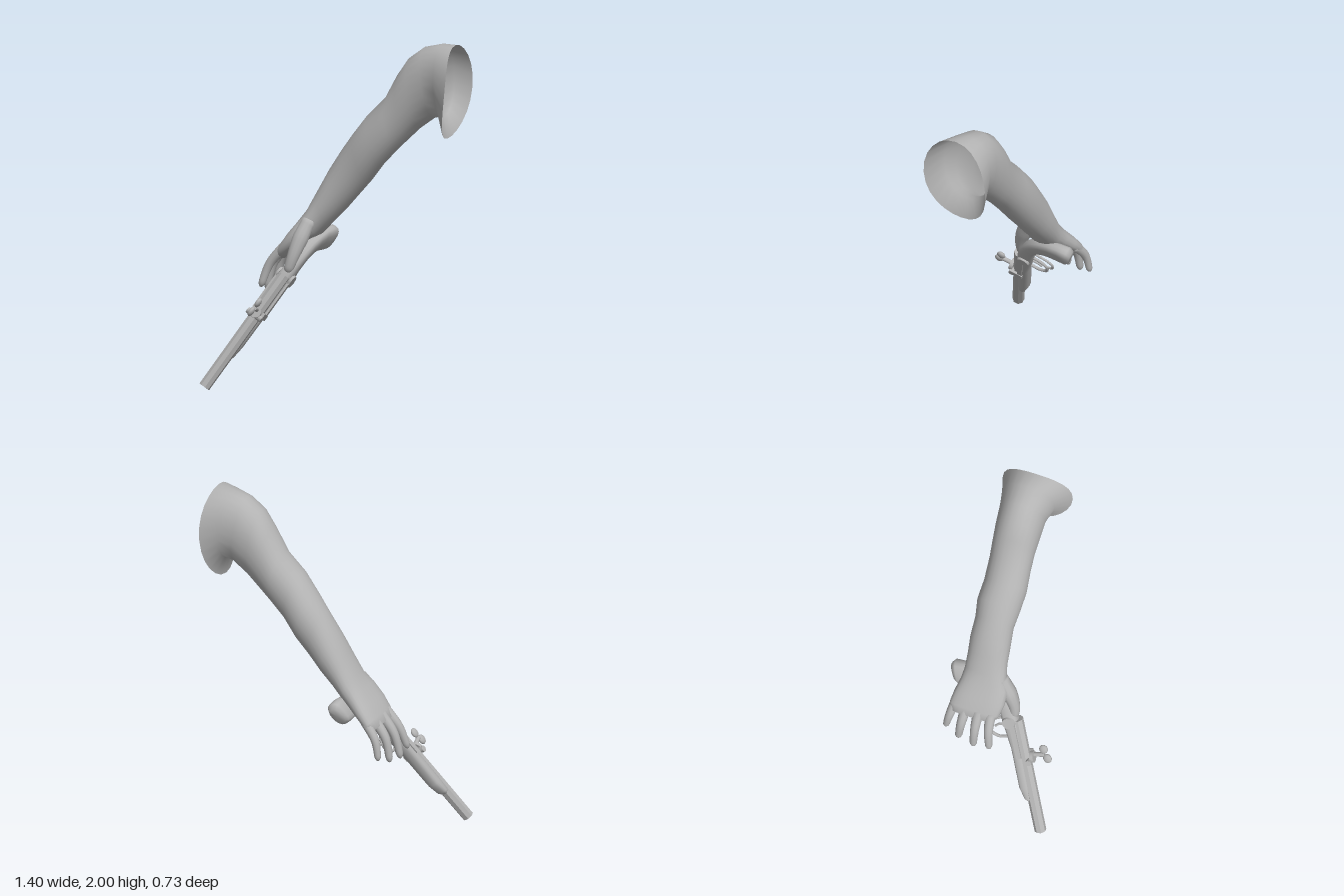
import * as THREE from 'three';

const V = (x, y, z) => new THREE.Vector3(x, y, z);

export function createModel() {
  const grey = new THREE.MeshStandardMaterial({ color: 0xb3b3b3, side: THREE.DoubleSide });
  grey.name = 'plain grey';
  const model = new THREE.Group();
  model.name = 'armWithPistol';

  const add = (parent, name, geometry) => {
    const mesh = new THREE.Mesh(geometry, grey);
    mesh.name = name;
    parent.add(mesh);
    return mesh;
  };

  // Skin a list of rings; optional caps at the start and end
  function loft(rings, capStart, capEnd) {
    const n = rings[0].length, pos = [], index = [];
    rings.forEach(r => r.forEach(p => pos.push(p.x, p.y, p.z)));
    for (let i = 0; i < rings.length - 1; i++) {
      for (let j = 0; j < n; j++) {
        const a = i * n + j, b = i * n + (j + 1) % n;
        index.push(a, b, b + n, a, b + n, a + n);
      }
    }
    const cap = (i, flip) => {
      const c = V(0, 0, 0);
      rings[i].forEach(p => c.addScaledVector(p, 1 / n));
      const k = pos.length / 3;
      pos.push(c.x, c.y, c.z);
      for (let j = 0; j < n; j++) {
        const a = i * n + j, b = i * n + (j + 1) % n;
        flip ? index.push(k, b, a) : index.push(k, a, b);
      }
    };
    if (capStart) cap(0, true);
    if (capEnd) cap(rings.length - 1, false);
    const g = new THREE.BufferGeometry();
    g.setAttribute('position', new THREE.Float32BufferAttribute(pos, 3));
    g.setIndex(index);
    g.computeVertexNormals();
    return g;
  }

  // Ellipse ring from a centre and two half axes; power below 1 squares it off
  function ring(c, u, v, n, power = 1) {
    const soft = t => Math.sign(t) * Math.pow(Math.abs(t), power);
    return Array.from({ length: n }, (_, j) => {
      const t = j / n * Math.PI * 2;
      return c.clone().addScaledVector(u, soft(Math.cos(t))).addScaledVector(v, soft(Math.sin(t)));
    });
  }

  // Tapered, round-ended limb through points [x, y, z, radius]
  function limb(points) {
    const curve = new THREE.CatmullRomCurve3(points.map(p => V(p[0], p[1], p[2])));
    const rings = [], steps = 20, last = points.length - 1;
    for (let i = 0; i <= steps; i++) {
      const t = Math.sin(i / steps * Math.PI / 2), s = Math.min(t * last, last - 1e-6), k = Math.floor(s);
      let r = THREE.MathUtils.lerp(points[k][3], points[k + 1][3], s - k);
      if (t > 0.87) r *= Math.sqrt(Math.max(0.002, 1 - ((t - 0.87) / 0.13) ** 2));
      const w = curve.getTangent(t), u = V(0, 0, 1).cross(w).normalize(), v = w.clone().cross(u);
      rings.push(ring(curve.getPoint(t), u.multiplyScalar(r), v.multiplyScalar(r), 12));
    }
    return loft(rings, true, true);
  }

  // Arm sections: top x, top y, bottom x, bottom y, front z, back z
  const sections = [
    [0.68, 2.0, 0.63, 1.46, 0.07, -0.35],
    [0.59, 2.0, 0.60, 1.585, -0.005, -0.32],
    [0.48, 1.975, 0.54, 1.57, -0.03, -0.305],
    [0.39, 1.91, 0.45, 1.505, -0.035, -0.30],
    [0.32, 1.81, 0.38, 1.44, -0.042, -0.295],
    [0.25, 1.68, 0.31, 1.375, -0.042, -0.29],
    [0.14, 1.57, 0.22, 1.28, -0.034, -0.288],
    [0.05, 1.46, 0.14, 1.18, -0.045, -0.30],
    [-0.02, 1.365, 0.06, 1.09, -0.058, -0.287],
    [-0.10, 1.24, -0.02, 1.00, -0.05, -0.29],
    [-0.16, 1.13, -0.10, 0.92, -0.045, -0.282],
    [-0.22, 1.015, -0.155, 0.86, -0.03, -0.28],
    [-0.27, 0.94, -0.205, 0.83, -0.005, -0.287],
    [-0.33, 0.87, -0.265, 0.785, -0.005, -0.305],
    [-0.38, 0.805, -0.325, 0.735, -0.02, -0.315],
    [-0.405, 0.76, -0.365, 0.715, -0.05, -0.295]
  ];
  const armRings = sections.map(([tx, ty, bx, by, zf, zb], i) => {
    const c = V((tx + bx) / 2, (ty + by) / 2, (zf + zb) / 2);
    const u = V((tx - bx) / 2, (ty - by) / 2, 0), v = V(0, 0, (zb - zf) / 2);
    const r = ring(c, u, v, 24, i > 11 ? 0.8 : 0.95);
    // the shoulder rim bows outwards at its sides
    if (i === 0) r.forEach((p, j) => { p.x += 0.04 * Math.sin(j / 24 * Math.PI * 2) ** 2; });
    return r;
  });
  add(model, 'armAndPalm', loft(armRings, false, true));

  // Fingers and thumb
  const fingers = {
    littleFinger: [[-0.33, 0.79, -0.28, 0.03], [-0.405, 0.69, -0.3, 0.024], [-0.432, 0.575, -0.313, 0.018]],
    ringFinger: [[-0.35, 0.785, -0.215, 0.032], [-0.43, 0.68, -0.222, 0.026], [-0.463, 0.54, -0.228, 0.02]],
    middleFinger: [[-0.36, 0.785, -0.14, 0.032], [-0.44, 0.68, -0.137, 0.026], [-0.482, 0.53, -0.132, 0.02]],
    indexFinger: [[-0.35, 0.785, -0.07, 0.032], [-0.43, 0.69, -0.058, 0.026], [-0.48, 0.555, -0.038, 0.02]],
    thumb: [[-0.19, 0.95, -0.06, 0.04], [-0.222, 0.85, -0.005, 0.047], [-0.25, 0.75, 0.035, 0.035], [-0.28, 0.655, 0.05, 0.027]]
  };
  for (const name in fingers) add(model, name, limb(fingers[name]));

  // Pistol frame: local x runs from muzzle to butt, y is the pistol's top
  const pistol = new THREE.Group();
  pistol.name = 'pistol';
  const along = V(0.489, 0.801, -0.345).normalize();
  const side = V(0.853, -0.521, 0).normalize();
  const up = side.clone().cross(along).normalize();
  pistol.quaternion.setFromRotationMatrix(new THREE.Matrix4().makeBasis(along, up, side));
  pistol.position.set(-0.67, 0.022, 0.335);
  model.add(pistol);

  // Octagonal barrel with a bored muzzle
  const profile = [[0, 0.06], [0.021, 0.06], [0.021, 0], [0.034, 0], [0.036, 0.78], [0, 0.78]];
  const barrel = new THREE.LatheGeometry(profile.map(p => new THREE.Vector2(...p)), 8)
    .rotateY(Math.PI / 8).rotateZ(-Math.PI / 2).toNonIndexed();
  barrel.computeVertexNormals();
  add(pistol, 'barrel', barrel);

  // Stock and curved grip: upper x, y, lower x, y, half width
  const stock = [
    [0.205, -0.02, 0.21, -0.034, 0.015], [0.225, -0.008, 0.235, -0.05, 0.032],
    [0.31, 0, 0.31, -0.068, 0.038], [0.58, 0, 0.58, -0.066, 0.042],
    [0.70, 0.005, 0.70, -0.078, 0.043], [0.78, 0.012, 0.79, -0.087, 0.043],
    [0.87, 0.003, 0.86, -0.092, 0.04], [0.95, -0.022, 0.91, -0.1, 0.038],
    [1.027, -0.055, 0.955, -0.13, 0.037], [1.09, -0.11, 0.985, -0.165, 0.037],
    [1.135, -0.17, 1.0, -0.21, 0.038], [1.166, -0.235, 1.015, -0.265, 0.042],
    [1.18, -0.295, 1.03, -0.30, 0.045], [1.16, -0.322, 1.05, -0.316, 0.034]
  ];
  add(pistol, 'stockAndGrip', loft(stock.map(([ux, uy, lx, ly, w]) =>
    ring(V((ux + lx) / 2, (uy + ly) / 2, 0), V((ux - lx) / 2, (uy - ly) / 2, 0), V(0, 0, w), 16, 0.75)),
  true, true));

  // Lock plates and pivot discs on both sides
  for (const s of [1, -1]) {
    add(pistol, 'lockPlate', new THREE.BoxGeometry(0.24, 0.03, 0.012)).position.set(0.65, -0.022, s * 0.043);
    add(pistol, 'pivotDisc', new THREE.CylinderGeometry(0.036, 0.04, 0.014, 20).rotateX(s * Math.PI / 2))
      .position.set(0.775, -0.04, s * 0.045);
  }

  // Trigger guard, its finger spur and the trigger
  const rod = (name, pts, r) => add(pistol, name, new THREE.TubeGeometry(
    new THREE.CatmullRomCurve3(pts.map(p => V(p[0], p[1], 0))), 28, r, 8));
  rod('triggerGuard', [[0.66, -0.06], [0.655, -0.125], [0.69, -0.17], [0.745, -0.168], [0.78, -0.125], [0.79, -0.07]], 0.009);
  rod('guardSpur', [[0.745, -0.168], [0.775, -0.205], [0.825, -0.2], [0.85, -0.16], [0.86, -0.08]], 0.007);
  rod('trigger', [[0.735, -0.07], [0.74, -0.11], [0.725, -0.14]], 0.007);

  // Clamp across the barrel with a winged screw on top
  add(pistol, 'clampBar', new THREE.CylinderGeometry(0.018, 0.018, 0.1, 12).rotateX(Math.PI / 2)).position.set(0.5, 0.03, 0);
  add(pistol, 'clampArm', new THREE.BoxGeometry(0.035, 0.08, 0.014)).position.set(0.52, 0, 0.045);
  add(pistol, 'clampCollar', new THREE.CylinderGeometry(0.034, 0.034, 0.022, 16)).position.set(0.515, 0.046, 0);
  add(pistol, 'screwStem', new THREE.CylinderGeometry(0.013, 0.013, 0.08, 12)).position.set(0.53, 0.08, 0);
  for (const s of [1, -1]) {
    const wing = add(pistol, 'screwWing', new THREE.SphereGeometry(0.03, 14, 10).scale(1, 0.85, 0.5));
    wing.position.set(0.535 + s * 0.032, 0.127 - s * 0.006, 0);
  }
  return model;
}
